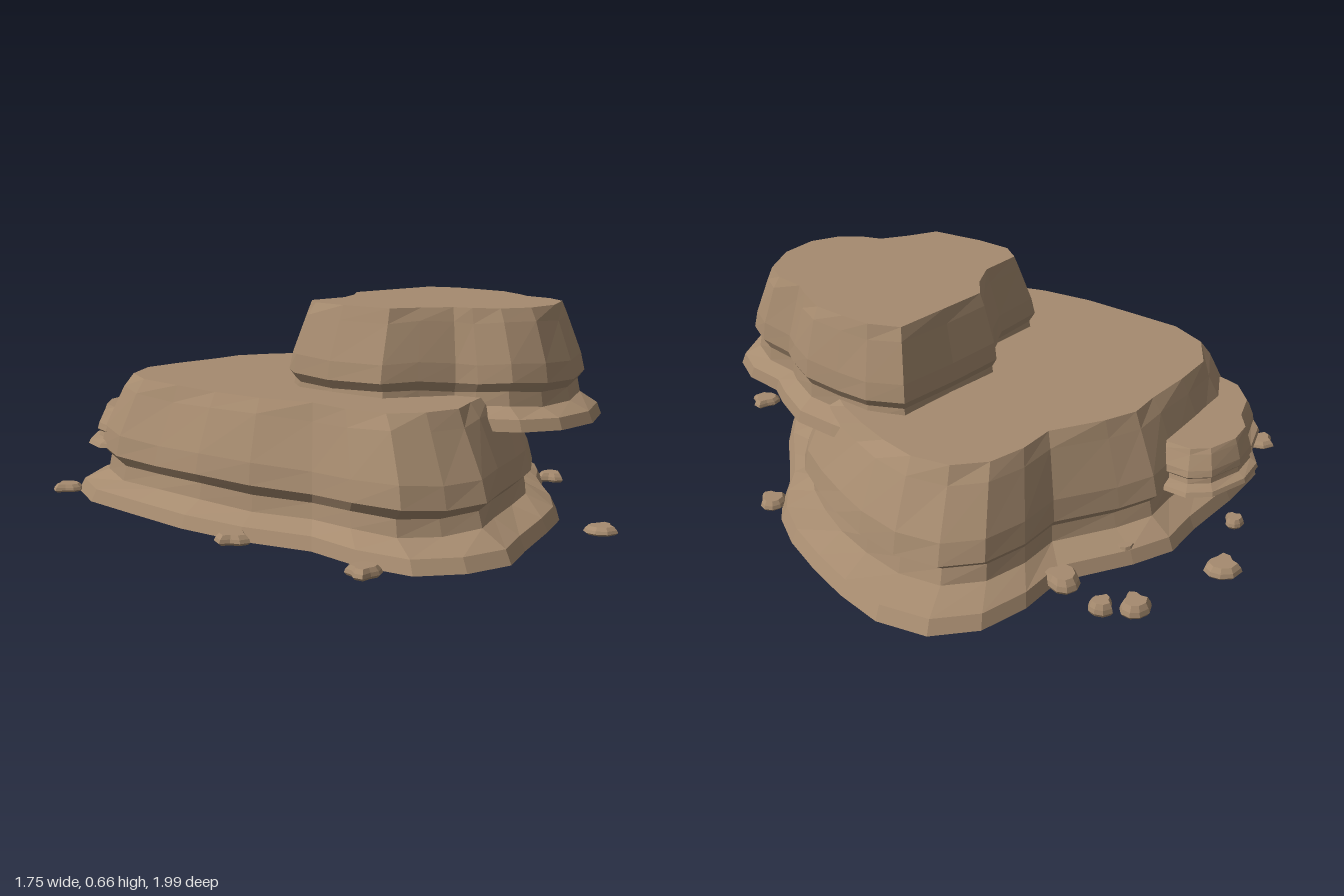
import * as THREE from 'three';

const rock = new THREE.MeshStandardMaterial({ color: 0xa68b6f, flatShading: true, side: THREE.DoubleSide });
rock.name = 'sandstone';

// [scale about the centre, height fraction]: flared foot, waist, ledge, leaning cliff
const mesaProfile = [[1, 0], [0.975, 0.1], [0.865, 0.18], [0.85, 0.3], [0.89, 0.38], [0.87, 0.54], [0.79, 0.88], [0.757, 1]];
const pebbleProfile = [[0.85, 0], [1, 0.25], [0.92, 0.6], [0.72, 1]];

// Stacks scaled copies of an outline (x, z pairs, clockwise from above) and closes the top
function terrace(name, outline, [cx, cz], y0, height, profile, wobble = 0) {
  const n = outline.length, pos = [], index = [];
  profile.forEach(([s, t], k) => outline.forEach(([x, z], i) => {
    const inner = k > 1 && k < profile.length - 1;
    const w = inner ? wobble * Math.sin(i * 1.9 + k * 0.4) : 0;
    const r = s + w * 0.6;
    pos.push(cx + (x - cx) * r, y0 + height * t + w * height, cz + (z - cz) * r);
  }));
  for (let k = 0; k < profile.length - 1; k++) {
    for (let i = 0; i < n; i++) {
      const a = k * n + i, b = k * n + (i + 1) % n;
      index.push(a, a + n, b, b, a + n, b + n);
    }
  }
  const top = (profile.length - 1) * n;
  pos.push(cx, y0 + height, cz);
  for (let i = 0; i < n; i++) index.push(pos.length / 3 - 1, top + (i + 1) % n, top + i);
  const geo = new THREE.BufferGeometry();
  geo.setAttribute('position', new THREE.Float32BufferAttribute(pos, 3));
  geo.setIndex(index);
  geo.computeVertexNormals();
  const mesh = new THREE.Mesh(geo, rock);
  mesh.name = name;
  return mesh;
}

const lowerOutline = [
  [0.39, -0.91], [0.54, -0.89], [0.66, -0.78], [0.73, -0.63], [0.78, -0.48], [0.82, -0.32], [0.83, -0.18],
  [0.81, -0.08], [0.77, 0.03], [0.75, 0.15], [0.73, 0.3], [0.69, 0.45], [0.61, 0.58], [0.48, 0.77], [0.4, 0.9],
  [0.26, 0.96], [0.11, 0.96], [-0.02, 0.84], [-0.12, 0.68], [-0.31, 0.54], [-0.47, 0.37], [-0.61, 0.17],
  [-0.74, -0.02], [-0.78, -0.2], [-0.71, -0.38], [-0.56, -0.5], [-0.38, -0.62], [-0.27, -0.71],
  [-0.13, -0.74], [0.11, -0.755], [0.24, -0.85],
];

// Outline of the upper terrace at its top edge, widened to its foot below
const upperTop = [
  [0.45, -0.305], [0.54, -0.25], [0.6, -0.17], [0.66, -0.08], [0.68, 0.03], [0.685, 0.1], [0.735, 0.19],
  [0.745, 0.28], [0.68, 0.4], [0.58, 0.475], [0.48, 0.49], [0.4, 0.46], [0.35, 0.425], [0.25, 0.425],
  [0.15, 0.435], [0.03, 0.31], [-0.04, 0.21], [-0.04, 0.13], [0.08, 0.05], [0.13, -0.04], [0.155, -0.13], [0.29, -0.21],
];
const upperCentre = [0.37, 0.1];
const upperOutline = upperTop.map((p) => p.map((v, a) => upperCentre[a] + (v - upperCentre[a]) / 0.77));

const sideOutline = [
  [-0.4, -0.69], [-0.32, -0.67], [-0.26, -0.59], [-0.24, -0.45], [-0.3, -0.27], [-0.42, -0.13], [-0.6, -0.09],
  [-0.71, -0.13], [-0.745, -0.22], [-0.72, -0.36], [-0.64, -0.47], [-0.61, -0.57], [-0.53, -0.645],
];

const pebbleOutline = [
  [-0.55, -0.75], [0.1, -0.95], [0.65, -0.8], [0.95, -0.35], [0.85, 0.15],
  [0.45, 0.5], [0.1, 1], [-0.4, 0.75], [-0.55, 0.25], [-0.95, -0.1],
];
// x, z, radius, turn, height
const pebbles = [
  [-0.82, -0.195, 0.054, -0.9, 0.025], [-0.37, -0.85, 0.06, -0.5, 0.035], [-0.05, -0.95, 0.052, 0, 0.04],
  [0.04, -0.925, 0.04, -0.9, 0.04], [0.11, -0.77, 0.062, 1.2, 0.045], [-0.12, -0.69, 0.04, 0.4, 0.05],
  [0.84, -0.08, 0.05, 0.5, 0.03], [0.765, 0.615, 0.054, 2.5, 0.025], [-0.02, 0.935, 0.055, -0.3, 0.03],
  [-0.33, 0.55, 0.06, 0.8, 0.03], [-0.51, -0.63, 0.035, 0.3, 0.03],
];

export function createModel() {
  const group = new THREE.Group();
  group.name = 'terracedRock';
  group.add(
    terrace('lowerTerrace', lowerOutline, [0, 0], 0, 0.4, mesaProfile, 0.015),
    terrace('upperTerrace', upperOutline, upperCentre, 0.31, 0.352, mesaProfile, 0.015),
    terrace('sideTerrace', sideOutline, [-0.48, -0.39], 0.155, 0.125, mesaProfile, 0.015),
  );
  // Loose stones around the foot
  pebbles.forEach(([x, z, r, turn, h]) => {
    const stone = terrace('looseStone', pebbleOutline.map(([a, b]) => [a * r, b * r]), [0, 0], 0, h, pebbleProfile);
    stone.position.set(x, 0, z);
    stone.rotation.y = turn;
    group.add(stone);
  });
  return group;
}
